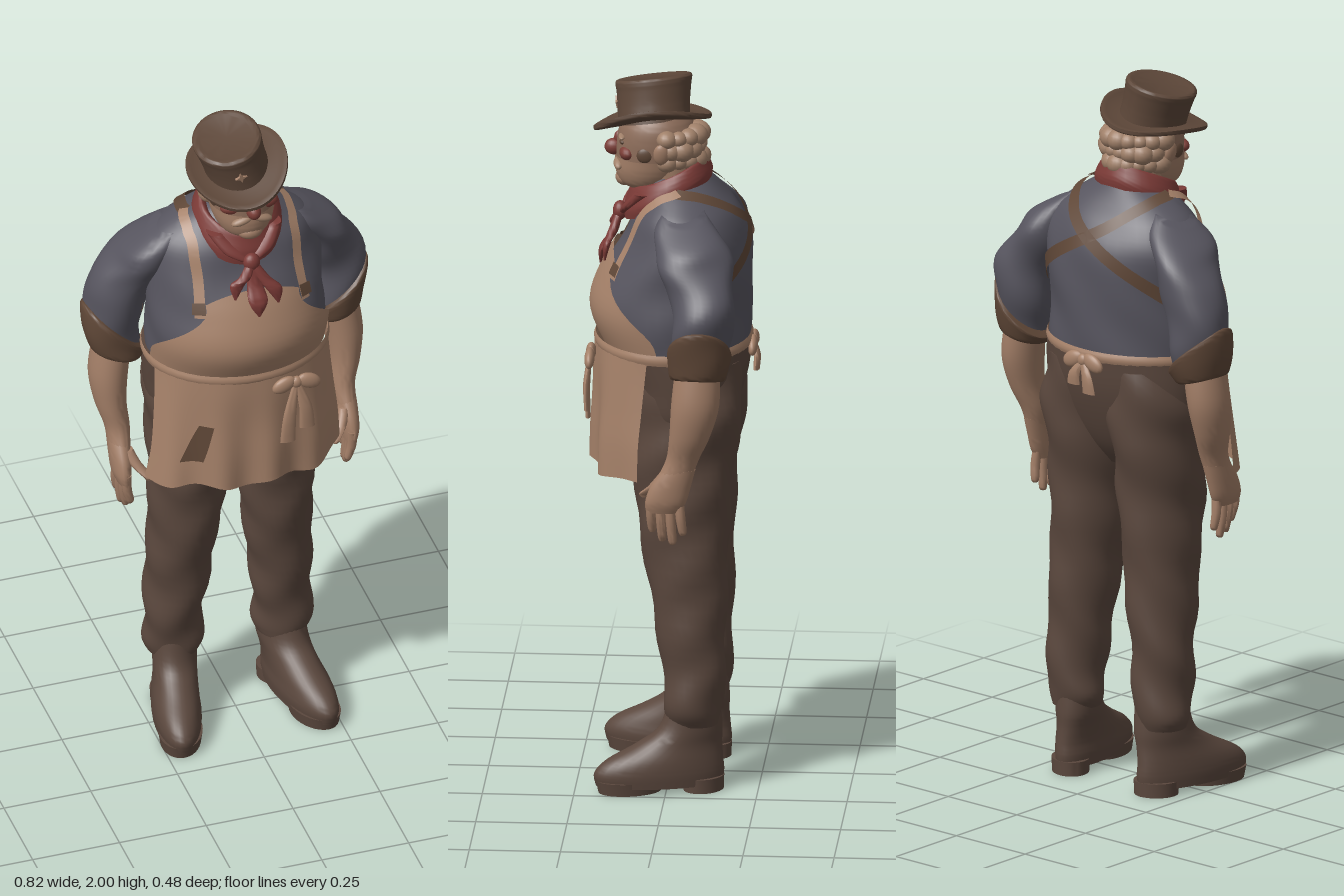
import * as THREE from 'three';
import { mergeVertices, toCreasedNormals } from 'three/addons/utils/BufferGeometryUtils.js';

const V = (x, y, z) => new THREE.Vector3(x, y, z);
const mat = (name, color, side = THREE.FrontSide) => new THREE.MeshStandardMaterial({ name, color, side });

// Smooth interpolation through cross-section rows [x, y, z, rx, rz, tiltX, tiltZ]
function rowAt(rows, t) {
  const n = rows.length - 1, i = Math.min(Math.floor(t), n - 1), u = t - i;
  const g = (k, j) => rows[Math.max(0, Math.min(n, k))][j] || 0;
  return [0, 1, 2, 3, 4, 5, 6].map(j => {
    const a = g(i - 1, j), b = g(i, j), c = g(i + 1, j), d = g(i + 2, j);
    return b + 0.5 * u * (c - a + u * (2 * a - 5 * b + 4 * c - d + u * (3 * (b - c) + d - a)));
  });
}
const ringPoint = ([x, y, z, rx, rz, tx, tz], a) =>
  V(x + rx * Math.sin(a), y + tx * Math.sin(a) + tz * Math.cos(a), z + rz * Math.cos(a));

// Grid of points to a surface
function grid(points, nu, nv, crease = 0.9) {
  const idx = [];
  for (let i = 0; i < nv; i++) for (let j = 0; j < nu; j++) {
    const a = i * (nu + 1) + j, b = a + nu + 1;
    idx.push(a, a + 1, b, a + 1, b + 1, b);
  }
  const g = new THREE.BufferGeometry().setFromPoints(points);
  g.setIndex(idx);
  return toCreasedNormals(mergeVertices(g, 1e-5), crease);
}

// Elliptical rings from bottom to top; half < PI leaves an open front panel
function loft(rows, { seg = 32, sub = 5, half = Math.PI, cap = true, warp } = {}) {
  const list = [], n = (rows.length - 1) * sub;
  for (let i = 0; i <= n; i++) list.push(rowAt(rows, i / sub));
  if (cap) {
    const end = r => [r[0], r[1], r[2], 0, 0, 0, 0];
    list.unshift(end(list[0]));
    list.push(end(list[list.length - 1]));
  }
  const pts = [];
  for (const r of list) for (let j = 0; j <= seg; j++) {
    const closes = half === Math.PI && j === seg;
    const p = ringPoint(r, closes ? -half : -half + 2 * half * j / seg);
    if (warp) warp(p);
    pts.push(p);
  }
  return grid(pts, seg, list.length - 1);
}

const side = (rows, s) => rows.map(r => [r[0] * s, r[1], r[2], r[3], r[4], (r[5] || 0) * s, r[6] || 0]);
const folds = k => p => {
  p.x += k * Math.sin(p.y * 34 + p.z * 22);
  p.z += k * Math.sin(p.y * 27 - p.x * 25);
};

const TORSO = [
  [0, 1.17, -0.035, 0.238, 0.165], [0, 1.25, -0.022, 0.245, 0.195], [0, 1.35, -0.005, 0.25, 0.216],
  [0, 1.45, -0.022, 0.245, 0.203], [0, 1.55, -0.046, 0.25, 0.171], [0, 1.62, -0.043, 0.225, 0.143],
  [0, 1.67, -0.035, 0.165, 0.11], [0, 1.72, -0.02, 0.08, 0.08]];
const SKIRT = [
  [-0.005, 0.905, 0.035, 0.288, 0.178], [0, 1, 0.035, 0.277, 0.178], [0, 1.1, 0.025, 0.267, 0.185],
  [0, 1.2, 0.01, 0.259, 0.2], [0, 1.265, 0, 0.256, 0.207]];
const skirtFolds = p => {
  const k = (1.265 - p.y) * 0.03;
  p.z += k * Math.sin(p.x * 45);
  p.y += k * 0.7 * Math.sin(p.x * 30);
};

// Point and normal on the torso, pushed outward
function onTorso(y, a, off) {
  const at = (yy, aa) => {
    let lo = 0, hi = TORSO.length - 1;
    for (let k = 0; k < 24; k++) { const m = (lo + hi) / 2; if (rowAt(TORSO, m)[1] < yy) lo = m; else hi = m; }
    return ringPoint(rowAt(TORSO, lo), aa);
  };
  const p = at(y, a);
  const n = at(y, a + 0.01).sub(p).cross(at(y + 0.004, a).sub(p)).normalize();
  return { p: p.addScaledVector(n, off), n };
}

// Flat band along torso positions [y, angle]
function strap(path, width, off) {
  const curve = new THREE.CatmullRomCurve3(path.map(([y, a]) => V(y, a, 0)));
  const s = curve.getPoints(30).map(q => onTorso(q.x, q.y, off)), pts = [];
  s.forEach(({ p, n }, i) => {
    const t = s[Math.min(i + 1, 30)].p.clone().sub(s[Math.max(i - 1, 0)].p);
    const w = t.cross(n).normalize().multiplyScalar(width / 2);
    pts.push(p.clone().sub(w), p.clone().add(w));
  });
  return grid(pts, 1, 30);
}

export function createModel() {
  const root = new THREE.Group();
  root.name = 'workman';
  const D = THREE.DoubleSide;
  const M = {
    skin: mat('skin', 0xa17d66), face: mat('weathered skin', 0x8d6d5a), hair: mat('sandy hair', 0xa08069),
    red: mat('red cloth', 0x7c3b37, D), flush: mat('flushed skin', 0x7c3e37),
    shirt: mat('blue grey shirt', 0x57555f), apron: mat('tan apron', 0xa58169, D),
    brown: mat('brown trousers', 0x5a473d), leather: mat('brown leather', 0x5f4737, D), hat: mat('hat felt', 0x5d4739) };
  const add = (name, geo, m, parent = root) => {
    const o = new THREE.Mesh(geo, m);
    o.name = name;
    parent.add(o);
    return o;
  };
  const blob = (name, m, [x, y, z], [sx, sy, sz], rz = 0) => {
    const o = add(name, new THREE.SphereGeometry(1, 18, 12), m);
    o.position.set(x, y, z);
    o.scale.set(sx, sy, sz);
    o.rotation.z = rz;
  };

  // Trunk
  add('shirt', loft(TORSO, { seg: 48, warp: folds(0.003) }), M.shirt);
  add('trouserSeat', loft([
    [0, 0.915, -0.045, 0.08, 0.05], [0, 0.98, -0.045, 0.17, 0.1], [0, 1.06, -0.042, 0.234, 0.14],
    [0, 1.16, -0.042, 0.251, 0.17], [0, 1.26, -0.022, 0.255, 0.202]], { seg: 44 }), M.brown);

  for (const s of [1, -1]) {
    // Legs and boots
    add('trouserLeg', loft(side([
      [0.157, 0.19, -0.075, 0.066, 0.07], [0.157, 0.23, -0.075, 0.083, 0.078], [0.157, 0.3, -0.073, 0.08, 0.084],
      [0.15, 0.42, -0.068, 0.087, 0.092], [0.136, 0.6, -0.055, 0.096, 0.11], [0.126, 0.78, -0.043, 0.106, 0.127],
      [0.122, 0.92, -0.045, 0.114, 0.137], [0.12, 1.02, -0.052, 0.122, 0.145], [0.118, 1.11, -0.055, 0.124, 0.15],
      [0.11, 1.22, -0.045, 0.11, 0.148]], s), { warp: folds(0.005) }), M.brown);
    const splay = p => { p.x += s * 0.18 * (p.z + 0.05); };
    add('boot', loft(side([
      [0.165, 0.02, 0.02, 0.066, 0.172], [0.165, 0.055, 0.02, 0.069, 0.176], [0.165, 0.09, 0.005, 0.066, 0.158],
      [0.16, 0.135, -0.035, 0.062, 0.115], [0.157, 0.18, -0.065, 0.064, 0.086], [0.157, 0.26, -0.075, 0.062, 0.07]], s),
      { warp: splay }), M.brown);
    add('bootSole', loft(side([[0.165, 0, 0.1, 0.058, 0.085], [0.165, 0.035, 0.1, 0.063, 0.092]], s), { sub: 1, warp: splay }), M.brown);
    add('bootHeel', loft(side([[0.165, 0, -0.1, 0.056, 0.055], [0.165, 0.04, -0.1, 0.058, 0.056]], s), { sub: 1, warp: splay }), M.brown);

    // Arms with rolled sleeves
    add('sleeve', loft(side([
      [0.315, 1.26, -0.1, 0.066, 0.068, 0.02], [0.32, 1.33, -0.107, 0.078, 0.08, 0.03], [0.312, 1.41, -0.107, 0.086, 0.085, 0.01],
      [0.282, 1.48, -0.1, 0.088, 0.092], [0.248, 1.55, -0.078, 0.084, 0.104, -0.015],
      [0.215, 1.605, -0.06, 0.085, 0.09, -0.025], [0.178, 1.65, -0.048, 0.05, 0.058, -0.02]], s), { warp: folds(0.005) }), M.shirt);
    add('cuff', loft(side([
      [0.318, 1.222, -0.095, 0.066, 0.07, 0.018], [0.318, 1.23, -0.095, 0.074, 0.077, 0.02],
      [0.32, 1.265, -0.1, 0.084, 0.084, 0.045], [0.32, 1.3, -0.103, 0.088, 0.088, 0.075],
      [0.32, 1.308, -0.103, 0.078, 0.08, 0.075]], s), { warp: folds(0.003) }), M.leather);
    add('forearm', loft(side([
      [0.325, 0.95, -0.035, 0.03, 0.047], [0.325, 1, -0.055, 0.035, 0.045], [0.337, 1.07, -0.075, 0.044, 0.056],
      [0.338, 1.16, -0.09, 0.054, 0.066], [0.322, 1.27, -0.095, 0.054, 0.06]], s)), M.skin);
    add('palm', loft(side([
      [0.325, 0.845, 0, 0.018, 0.046], [0.328, 0.875, -0.008, 0.025, 0.056], [0.327, 0.92, -0.022, 0.029, 0.055],
      [0.325, 0.97, -0.045, 0.031, 0.045]], s), { seg: 20 }), M.skin);
    const digit = (a, b, r) => add('finger', loft(side([
      [b[0], b[1], b[2], r * 0.5, r * 0.5], [b[0], b[1] + 0.01, b[2], r * 0.85, r * 0.85],
      [(a[0] + b[0]) / 2 + 0.004, (a[1] + b[1]) / 2, (a[2] + b[2]) / 2, r, r], [a[0], a[1], a[2], r, r]], s), { seg: 10, sub: 3 }), M.skin);
    [0.785, 0.76, 0.752, 0.78].forEach((y, i) =>
      digit([0.325, 0.88, 0.034 - i * 0.026], [0.314 + i * 0.004, y, 0.03 - i * 0.028], 0.0135));
    digit([0.312, 0.945, 0], [0.27, 0.87, 0.055], 0.016);

    // Apron straps
    add('frontStrap', strap([[1.45, 0.64 * s], [1.55, 0.59 * s], [1.62, 0.68 * s], [1.665, 0.98 * s], [1.69, 1.57 * s]], 0.03, 0.013), M.apron);
    add('backStrap', strap([[1.69, 1.5 * s], [1.68, 2.1 * s], [1.65, 2.62 * s], [1.585, 3.14 * s], [1.52, 3.62 * s], [1.45, 4.1 * s],
      [1.37, 4.55 * s]], 0.036, 0.009), M.leather);
    add('strapBuckle', strap([[1.46, 0.64 * s], [1.475, 0.63 * s], [1.49, 0.62 * s]], 0.038, 0.019), M.leather);
  }

  // Apron: bib, skirt and waist tie
  const bib = [], bibRows = 14;
  for (let i = 0; i <= bibRows; i++) {
    const u = i / bibRows, h = 1.38 - 0.83 * THREE.MathUtils.smoothstep(u, 0.2, 0.95);
    for (let j = 0; j <= 24; j++) {
      const k = 2 * j / 24 - 1;
      bib.push(onTorso(1.24 + u * (0.275 - 0.03 * k * k), h * k, 0.012).p);
    }
  }
  add('apronBib', grid(bib, 24, bibRows), M.apron);
  add('apronSkirt', loft(SKIRT, { cap: false, half: 1.34, seg: 48, warp: skirtFolds }), M.apron);
  const patch = [];
  for (let i = 0; i <= 6; i++) for (let j = 0; j <= 6; j++) {
    const p = ringPoint(rowAt(SKIRT, 0.85 + i * 0.2), -0.85 + i * 0.035 + (j / 6) * (0.28 - i * 0.02));
    skirtFolds(p);
    patch.push(p.add(V(-0.003, 0, 0.004)));
  }
  add('apronPatch', grid(patch, 6, 6), M.leather);
  add('waistTie', loft([[0, 1.24, -0.008, 0.26, 0.214], [0, 1.255, -0.008, 0.264, 0.219], [0, 1.27, -0.008, 0.26, 0.214]],
    { cap: false, seg: 48, sub: 2 }), M.apron);
  const bow = (x, y, z, dir, len) => {
    blob('bowKnot', M.apron, [x, y, z], [0.017, 0.018, 0.013]);
    for (const s of [1, -1]) {
      blob('bowLoop', M.apron, [x + s * 0.036, y - 0.003, z], [0.036, 0.023, 0.014], -s * 0.45);
      const L = len * (s > 0 ? 0.8 : 1);
      add('bowTail', loft([[x + s * 0.028, y - L, z + dir * 0.008, 0.022, 0.007], [x + s * 0.022, y - L / 2, z + dir * 0.01, 0.018, 0.008],
        [x, y, z, 0.009, 0.006]], { seg: 12, sub: 3 }), M.apron);
    }
  };
  bow(0.105, 1.225, 0.214, 1, 0.19);
  bow(0, 1.24, -0.226, -1, 0.09);

  // Neck and neckerchief
  add('neck', loft([[0, 1.62, 0, 0.075, 0.075], [0, 1.78, 0.01, 0.075, 0.075]], { sub: 2 }), M.skin);
  add('neckerchief', loft([
    [0, 1.65, 0.008, 0.118, 0.122, 0, -0.06], [0, 1.677, 0.008, 0.124, 0.122, 0, -0.055], [0, 1.707, 0.006, 0.116, 0.11, 0, -0.05],
    [0, 1.73, 0.004, 0.1, 0.1, 0, -0.045], [0, 1.715, 0.002, 0.085, 0.09, 0, -0.045]], { cap: false, warp: folds(0.003) }), M.red);
  blob('kerchiefKnot', M.red, [0, 1.605, 0.14], [0.024, 0.027, 0.02]);
  for (const [x, y, z, w] of [[-0.055, 1.505, 0.165, 0.022], [0.005, 1.455, 0.193, 0.027], [0.065, 1.48, 0.178, 0.022]])
    add('kerchiefTail', loft([[x, y, z, 0.003, 0.003], [x * 0.85, y + 0.045, z - 0.006, w, 0.01],
      [x * 0.45, (y + 1.61) / 2 + 0.012, 0.158, w * 0.8, 0.012], [0, 1.61, 0.14, 0.012, 0.01]], { seg: 14 }), M.red);
  for (const s of [1, -1])
    add('kerchiefFold', loft([[0, 1.598, 0.132, 0.012, 0.01], [s * 0.045, 1.632, 0.116, 0.026, 0.015],
      [s * 0.085, 1.68, 0.07, 0.022, 0.026]], { seg: 14 }), M.red);

  // Head
  const brow = [0, 1.768, 0.047, 0.0915, 0.104];
  add('jaw', loft([[0, 1.676, 0.07, 0.035, 0.042], [0, 1.695, 0.066, 0.066, 0.074], [0, 1.73, 0.055, 0.084, 0.098], brow]), M.skin);
  add('upperFace', loft([brow, [0, 1.82, 0.04, 0.094, 0.108], [0, 1.86, 0.037, 0.088, 0.1], [0, 1.89, 0.037, 0.07, 0.08]]), M.face);
  blob('chin', M.skin, [0, 1.703, 0.125], [0.036, 0.024, 0.028]);
  blob('nose', M.flush, [0, 1.788, 0.157], [0.02, 0.023, 0.026]);
  blob('noseBridge', M.flush, [0, 1.812, 0.143], [0.012, 0.022, 0.014]);
  for (const s of [1, -1]) {
    blob('cheek', M.flush, [s * 0.043, 1.787, 0.115], [0.04, 0.022, 0.024]);
    blob('moustache', M.hair, [s * 0.027, 1.752, 0.141], [0.033, 0.012, 0.015], -s * 0.3);
    blob('eyebrow', M.hair, [s * 0.042, 1.832, 0.131], [0.025, 0.006, 0.01], -s * 0.12);
    blob('eye', M.leather, [s * 0.04, 1.816, 0.129], [0.018, 0.008, 0.01]);
    blob('sideburn', M.leather, [s * 0.086, 1.79, 0.065], [0.01, 0.022, 0.024]);
    blob('ear', M.skin, [s * 0.1, 1.797, 0.02], [0.014, 0.032, 0.022], -s * 0.2);
  }
  for (let r = 0; r < 3; r++) for (let i = 0; i < 9; i++) {
    const a = 1.72 + i * 0.352 + (r % 2) * 0.1, k = 0.03 + 0.006 * Math.sin(i * 5 + r * 3);
    blob('hairCurl', M.hair, [(0.088 - (2 - r) * 0.006) * Math.sin(a), 1.768 + r * 0.034, 0.02 + 0.095 * Math.cos(a)], [k, k * 0.9, k]);
  }

  // Tilted hat
  const hat = new THREE.Group();
  hat.name = 'hat';
  hat.position.set(-0.01, 1.865, 0.052);
  hat.rotation.set(0.13, 0, 0.21);
  root.add(hat);
  const curl = p => { p.y += 1.3 * p.x * p.x - 0.35 * p.z * p.z; };
  add('brim', loft([[0, -0.006, 0, 0.07, 0.08], [0, -0.006, 0, 0.115, 0.135], [0, -0.004, 0, 0.137, 0.16], [0, 0.006, 0, 0.139, 0.163],
    [0, 0.01, 0, 0.135, 0.158], [0, 0.008, 0, 0.11, 0.13], [0, 0.012, 0, 0.07, 0.08]], { seg: 48, sub: 2, cap: false, warp: curl }), M.hat, hat);
  add('crown', loft([[0, -0.005, -0.004, 0.089, 0.1], [-0.004, 0.04, -0.008, 0.088, 0.1], [-0.008, 0.085, -0.013, 0.092, 0.103],
    [-0.01, 0.108, -0.015, 0.095, 0.106], [-0.01, 0.116, -0.015, 0.088, 0.099], [-0.01, 0.113, -0.015, 0.07, 0.08]], { seg: 40 }), M.hat, hat);
  const star = new THREE.Shape();
  for (let i = 0; i < 8; i++) {
    const r = i % 2 ? 0.007 : 0.017, a = i * Math.PI / 4;
    star[i ? 'lineTo' : 'moveTo'](r * Math.cos(a), r * Math.sin(a));
  }
  add('hatPin', new THREE.ExtrudeGeometry(star, { depth: 0.008, bevelEnabled: false }), M.apron, hat).position.set(-0.012, 0.056, 0.088);

  return root;
}
